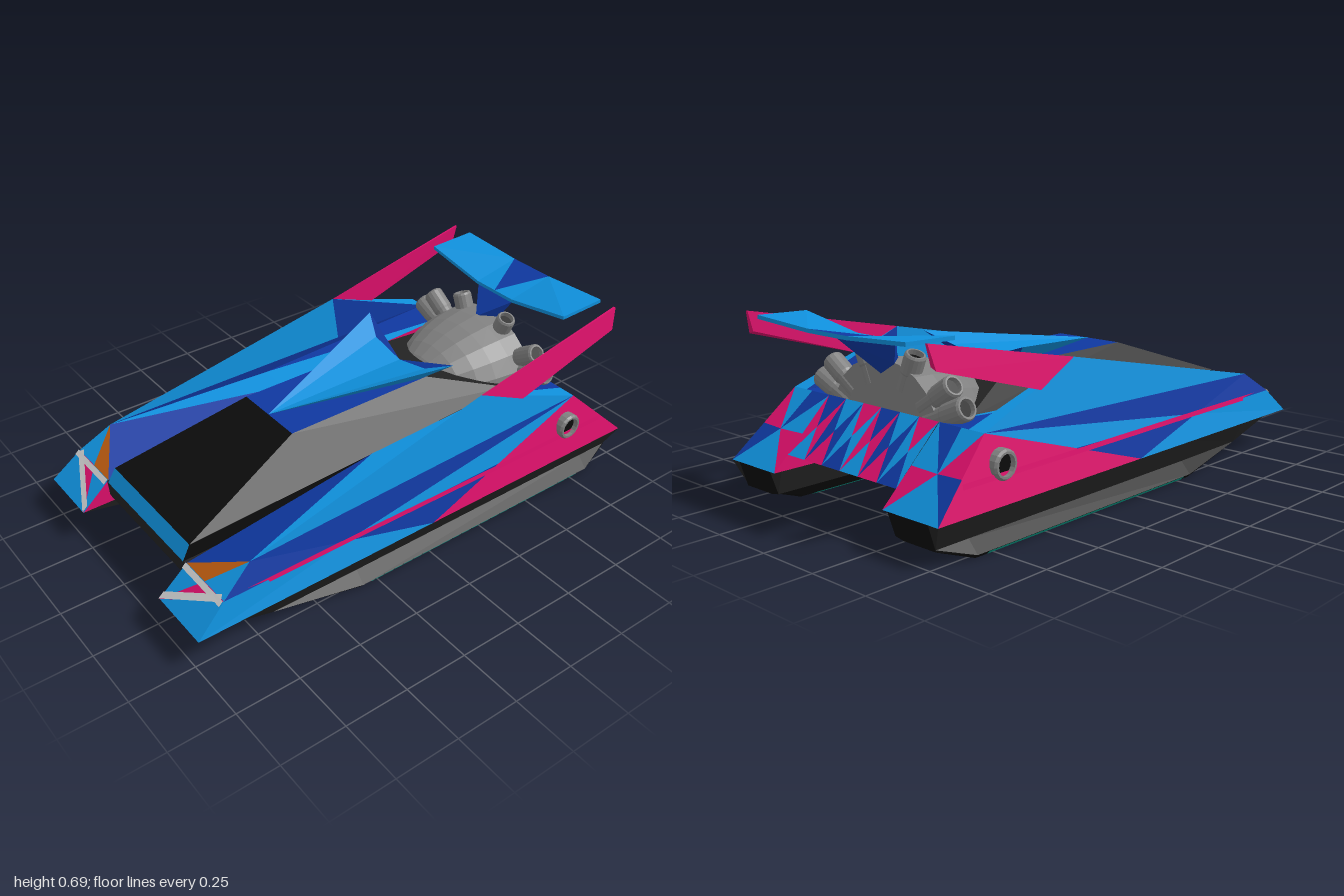
import * as THREE from 'three';
import { ConvexGeometry } from 'three/addons/geometries/ConvexGeometry.js';

const LIGHT = 0x0f90dc, DEEP = 0x0f38a0, NAVY = 0x0c2c84, PINK = 0xdb0f6a, ORANGE = 0xb8590f,
  BLACK = 0x0b0b0b, DARK = 0x222222, GREY = 0xcccccc, ENGINE = 0x808080, TEAL = 0x0aa08c;

const mat = (color) => new THREE.MeshStandardMaterial({ color, flatShading: true, side: THREE.DoubleSide });

function add(parent, name, geometry, color) {
  const mesh = new THREE.Mesh(geometry, mat(color));
  mesh.name = name;
  parent.add(mesh);
  return mesh;
}

// Flat panels: each entry is [colour, corner, corner, corner, ...]; one mesh per colour
function panels(parent, name, list) {
  const group = new THREE.Group();
  group.name = name;
  const byColor = new Map();
  for (const [color, ...c] of list) {
    if (!byColor.has(color)) byColor.set(color, []);
    for (let i = 1; i < c.length - 1; i++) byColor.get(color).push(...c[0], ...c[i], ...c[i + 1]);
  }
  for (const [color, pos] of byColor) {
    const g = new THREE.BufferGeometry();
    g.setAttribute('position', new THREE.Float32BufferAttribute(pos, 3));
    g.computeVertexNormals();
    add(group, name + 'Panel', g, color);
  }
  parent.add(group);
}

const convex = (pts) => new ConvexGeometry(pts.map((p) => new THREE.Vector3(...p)));
const mirrorX = ([x, y, z]) => [-x, y, z];
const mix = (a, b, t) => a.map((v, i) => v + (b[i] - v) * t);

// Exhaust pipe with a bevelled rim and a dark mouth
function pipe(parent, name, from, to, r) {
  const a = new THREE.Vector3(...from), b = new THREE.Vector3(...to), len = a.distanceTo(b);
  const profile = [[r * 0.9, 0], [r * 0.9, len * 0.45], [r, len * 0.5], [r, len - 0.008], [r * 0.88, len], [r * 0.72, len], [r * 0.72, len - 0.02]];
  const group = new THREE.Group();
  group.name = name;
  add(group, 'pipeShell', new THREE.LatheGeometry(profile.map((p) => new THREE.Vector2(...p)), 16), ENGINE);
  const mouth = add(group, 'pipeMouth', new THREE.CircleGeometry(r * 0.72, 16), BLACK);
  mouth.rotation.x = -Math.PI / 2;
  mouth.position.y = len - 0.02;
  group.position.copy(a);
  group.quaternion.setFromUnitVectors(new THREE.Vector3(0, 1, 0), b.sub(a).normalize());
  parent.add(group);
}

function createPod() {
  const pod = new THREE.Group();
  // Key corners of the painted upper shell
  const noseOut = [0.54, 0.145, 1], noseIn = [0.285, 0.145, 1], midOut = [0.521, 0.245, 0.885], midIn = [0.285, 0.245, 0.885];
  const ridge = [0.49, 0.33, 0.76], peak = [0.455, 0.55, -0.28], tail = [0.49, 0.38, -0.75];
  const tailMid = [0.42, 0.38, -0.75], tailIn = [0.285, 0.38, -0.75], inner = [0.285, 0.35, 0.09], deck = [0.4, 0.362, 0.1];
  const side = [0.54, 0.145, 0], rearOut = [0.54, 0.145, -1], rearIn = [0.285, 0.145, -1];
  const cross = [0.4, 0.245, 0.885];
  const sideMid = mix(ridge, side, 0.5);

  panels(pod, 'podSide', [
    [LIGHT, ridge, peak, tail], [DEEP, ridge, tail, sideMid], [LIGHT, sideMid, tail, mix(side, tail, 0.45)],
    [DEEP, sideMid, mix(side, tail, 0.45), side], [LIGHT, noseOut, midOut, sideMid, side],
    [DEEP, midOut, ridge, sideMid], [PINK, side, tail, rearOut],
  ]);
  panels(pod, 'podNose', [
    [LIGHT, noseOut, noseIn, midOut], [PINK, midOut, noseIn, cross], [LIGHT, cross, noseIn, midIn],
    [LIGHT, midOut, cross, ridge], [ORANGE, cross, midIn, ridge],
  ]);
  // Pale cross on the nose
  const f = 0.004, lift = ([x, y, z]) => [x, y + f, z + f];
  panels(pod, 'noseStripe', [
    [GREY, ...[[0.522, 0.23, 0.901], [0.285, 0.23, 0.901], midIn, midOut].map(lift)],
    [GREY, ...[[0.285, 0.145, 1], [0.285, 0.165, 0.978], [0.5, 0.255, 0.873], [0.515, 0.24, 0.89]].map(lift)],
  ]);
  panels(pod, 'podDeck', [
    [DEEP, midIn, ridge, inner], [LIGHT, ridge, deck, inner], [NAVY, ridge, tailMid, deck],
    [LIGHT, inner, deck, tailIn], [DEEP, deck, tailMid, tailIn],
    [LIGHT, ridge, peak, mix(ridge, tailMid, 0.7)], [DEEP, peak, tailMid, mix(ridge, tailMid, 0.7)], [LIGHT, peak, tail, tailMid],
  ]);
  panels(pod, 'podInnerWall', [[PINK, noseIn, midIn, inner, tailIn, rearIn]]);
  const rc = [0.41, 0.26, -0.878];
  panels(pod, 'podRear', [
    [DEEP, tailIn, mix(tailIn, tail, 0.5), rc], [LIGHT, mix(tailIn, tail, 0.5), tail, rc],
    [PINK, tail, mix(tail, rearOut, 0.5), rc], [DEEP, mix(tail, rearOut, 0.5), rearOut, rc],
    [LIGHT, rearOut, rearIn, rc], [PINK, rearIn, mix(rearIn, tailIn, 0.5), rc], [LIGHT, mix(rearIn, tailIn, 0.5), tailIn, rc],
  ]);

  // Thin pink stripe along the side
  const line = [[0.518, 0.88], [0.517, 0.37], [0.523, -0.38], [0.523, -0.88]];
  panels(pod, 'sideStripe', line.slice(1).map(([x, z], i) => {
    const [x0, z0] = line[i];
    return [PINK, [x0 + 0.003, 0.232, z0], [x + 0.003, 0.232, z], [x, 0.25, z], [x0, 0.25, z0]];
  }));

  // Dark lower hull lofted through clipped cross-sections
  const outline = [[0.285, 0.145], [0.31, 0.057], [0.35, 0.012], [0.375, 0], [0.525, 0], [0.535, 0.012], [0.495, 0.057], [0.54, 0.145]];
  const rings = [[1, 0.145], [0.68, 0.06], [0.32, 0], [-0.83, 0], [-0.97, 0.05], [-1, 0.145]].map(([z, b]) =>
    outline.map(([x, y]) => (y >= b ? [x, y, z] : [THREE.MathUtils.clamp(x, 0.31, 0.495), b, z])));
  const hull = [];
  for (let i = 0; i < rings.length - 1; i++)
    for (let j = 0; j < outline.length - 1; j++)
      hull.push([j === 0 || j === 6 ? DARK : BLACK, rings[i][j], rings[i + 1][j], rings[i + 1][j + 1], rings[i][j + 1]]);
  panels(pod, 'lowerHull', hull);

  // Glow strips under the keel
  panels(pod, 'glowStrip', [[0.347, 0.012, 0.372, -0.001], [0.524, -0.001, 0.537, 0.012]].map(([x0, y0, x1, y1]) =>
    [TEAL, [x0, y0, 0.28], [x1, y1, 0.28], [x1, y1, -0.78], [x0, y0, -0.78]]));

  // Swept tail fin
  add(pod, 'tailFin', convex([peak, [0.455, 0.69, -0.96], [0.465, 0.69, -0.96], [0.48, 0.605, -0.94], [0.456, 0.615, -0.94],
    [0.48, 0.47, -0.475], [0.455, 0.47, -0.475]]), PINK);

  // Side exhaust and engine pipes
  pipe(pod, 'sideExhaust', [0.26, 0.275, -0.7], [0.54, 0.275, -0.7], 0.052);
  pipe(pod, 'lowPipe', [0.2, 0.36, -0.71], [0.375, 0.435, -0.71], 0.043);
  pipe(pod, 'midPipe', [0.17, 0.405, -0.71], [0.235, 0.5, -0.71].map((v, i) => [0.315, 0.5, 0][i] || v), 0.04);
  pipe(pod, 'highPipe', [0.08, 0.45, -0.71], [0.135, 0.58, -0.71], 0.038);
  return pod;
}

export function createModel() {
  const model = new THREE.Group();
  model.name = 'hoverRacer';

  for (const s of [1, -1]) {
    const pod = createPod();
    pod.name = s > 0 ? 'leftPod' : 'rightPod';
    pod.scale.x = s;
    model.add(pod);
  }

  // Centre hull between the pods
  const shape = new THREE.Shape([[0.885, 0.175], [0.89, 0.245], [0.5, 0.25], [-0.55, 0.35], [-0.75, 0.378], [-0.935, 0.2], [-0.65, 0.175]]
    .map(([z, y]) => new THREE.Vector2(-z, y)));
  const body = new THREE.ExtrudeGeometry(shape, { depth: 0.57, bevelEnabled: false });
  body.translate(0, 0, -0.285).rotateY(Math.PI / 2);
  add(model, 'centreHull', body, DARK);

  // Painted rear panel, a row of alternating triangles
  const rear = [], n = 6, colors = [PINK, LIGHT, DEEP];
  for (let i = 0; i < n; i++) {
    const x0 = -0.285 + (0.57 * i) / n, x1 = x0 + 0.57 / n, xm = (x0 + x1) / 2;
    const t = (x) => [x, 0.382, -0.752], b = (x) => [x, 0.2, -0.941], c = [xm, 0.291, -0.8465];
    rear.push([colors[i % 3], t(x0), t(x1), c], [colors[(i + 1) % 3], t(x1), b(x1), c],
      [colors[(i + 2) % 3], b(x1), b(x0), c], [colors[(i + 1) % 3], b(x0), t(x0), c]);
  }
  panels(model, 'rearPanel', rear);

  // Cabin with a sloping front
  const base = [0.272, 0.245, 0.892], front = [0.268, 0.3, 0.86], roof = [0.15, 0.475, 0.35], roofBack = [0.15, 0.475, -0.28],
    back = [0.272, 0.365, -0.6], foot = [0.272, 0.28, -0.6];
  const cabin = [
    [LIGHT, base, front, mirrorX(front), mirrorX(base)], [BLACK, front, roof, mirrorX(roof), mirrorX(front)],
    [DEEP, roof, roofBack, mirrorX(roofBack), mirrorX(roof)], [DARK, roofBack, back, mirrorX(back), mirrorX(roofBack)],
  ];
  for (const m of [(p) => p, mirrorX])
    cabin.push([DARK, ...[front, roof, back].map(m)], [DARK, ...[roof, roofBack, back].map(m)], [BLACK, ...[base, front, back, foot].map(m)]);
  panels(model, 'cabin', cabin);

  // Arrow-shaped canopy with raised wing tips
  const tip = [0, 0.477, 0.35], valley = [0, 0.482, -0.27], fold = [0.15, 0.515, -0.27], wing = [0.255, 0.562, -0.32], under = [0.15, 0.477, -0.25];
  const canopy = [];
  for (const m of [(p) => p, mirrorX])
    canopy.push([LIGHT, ...[tip, valley, fold].map(m)], [LIGHT, ...[tip, fold, wing].map(m)],
      [LIGHT, ...[tip, under, wing].map(m)], [DEEP, ...[valley, fold, wing, under].map(m)]);
  panels(model, 'canopy', canopy);

  // Engine dome with a flat back
  const dome = new THREE.SphereGeometry(1, 10, 8, Math.PI, Math.PI, 0, Math.PI / 2);
  dome.rotateX(Math.PI / 2).scale(0.268, 0.22, 0.43).translate(0, 0.33, -0.74);
  add(model, 'engineDome', dome, ENGINE);
  const cap = new THREE.CircleGeometry(1, 10, 0, Math.PI);
  cap.scale(0.268, 0.22, 1).translate(0, 0.33, -0.74);
  add(model, 'engineBack', cap, ENGINE);

  // Rear wing: shallow dish in plan strips, with a dark centre triangle
  const down = ([x, y, z]) => [x, y - 0.014, z];
  const fc = [0, 0.63, -0.765], fm = [0.1, 0.63, -0.765], fe = [0.38, 0.678, -0.765];
  const rc = [0, 0.67, -0.97], rm = [0.1, 0.67, -0.97], re = [0.38, 0.685, -0.97];
  const wingFaces = [];
  for (const m of [(p) => p, mirrorX]) {
    for (const k of [(p) => p, down])
      wingFaces.push([DEEP, ...[fc, rm, rc].map(m).map(k)], [LIGHT, ...[fc, fm, rm].map(m).map(k)],
        [LIGHT, ...[fm, fe, rm].map(m).map(k)], [LIGHT, ...[fe, re, rm].map(m).map(k)]);
    for (const [a, b] of [[fc, fm], [fm, fe], [fe, re], [re, rm], [rm, rc]])
      wingFaces.push([LIGHT, ...[a, b, down(b), down(a)].map(m)]);
  }
  panels(model, 'rearWing', wingFaces);
  add(model, 'wingStrut', convex([[0.1, 0.618, -0.77], [-0.1, 0.618, -0.77], [0, 0.645, -0.93],
    [0.06, 0.54, -0.74], [-0.06, 0.54, -0.74], [0, 0.54, -0.67], [0, 0.5, -0.75]]), DEEP);

  return model;
}
